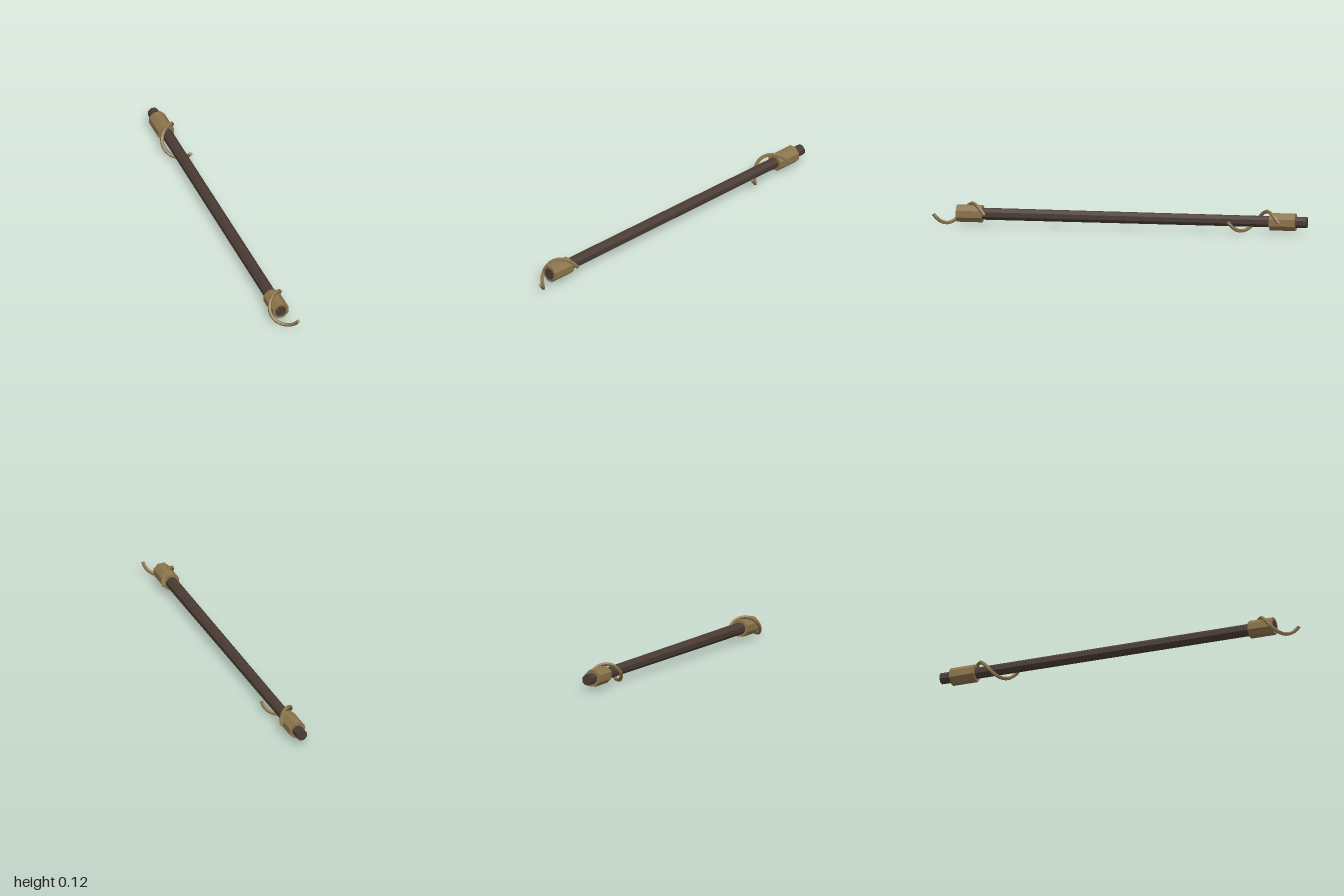
import * as THREE from 'three';

const AXIS_Y = 0.064;

class Helix extends THREE.Curve {
  constructor(radius, z0, z1) {
    super();
    Object.assign(this, { radius, z0, z1 });
  }
  getPoint(t, target = new THREE.Vector3()) {
    const a = t * Math.PI * 2;
    return target.set(
      this.radius * Math.cos(a),
      this.radius * Math.sin(a),
      THREE.MathUtils.lerp(this.z0, this.z1, t)
    );
  }
}

export function createModel() {
  const group = new THREE.Group();
  const wood = new THREE.MeshStandardMaterial({ color: 0x4a3c34, flatShading: true });
  const brass = new THREE.MeshStandardMaterial({ color: 0x8c754c, flatShading: true, side: THREE.DoubleSide });

  function add(name, geometry, material) {
    const mesh = new THREE.Mesh(geometry, material);
    mesh.name = name;
    group.add(mesh);
    return mesh;
  }

  // Eight-sided bar along z with flats facing up and sideways
  function bar(zBack, zFront, rBack, rFront) {
    return new THREE.CylinderGeometry(rFront, rBack, zFront - zBack, 8)
      .rotateY(Math.PI / 8)
      .rotateX(Math.PI / 2)
      .translate(0, 0, (zBack + zFront) / 2);
  }

  // Slightly tapered shaft, flush with the front collar
  add('shaft', bar(-1, 0.869, 0.0295, 0.0325), wood);

  // A collar and a one-turn spiral wire near each end
  const ends = [
    { name: 'front', collar: 0.73, wire: 0.712 },
    { name: 'back', collar: -0.94, wire: -0.858 },
  ];
  for (const { name, collar, wire } of ends) {
    add(name + 'Collar', bar(collar, collar + 0.137, 0.047, 0.047), brass);

    const path = new Helix(0.053, wire, wire + 0.272);
    add(name + 'SpiralWire', new THREE.TubeGeometry(path, 20, 0.01, 5, false), brass);

    // Close the wire tips
    for (const t of [0, 1]) {
      const cap = add(name + 'WireTip', new THREE.CircleGeometry(0.0095, 5), brass);
      const point = path.getPoint(t);
      cap.position.copy(point);
      cap.lookAt(point.clone().addScaledVector(path.getTangent(t), t ? 1 : -1));
    }
  }

  group.position.y = AXIS_Y;
  const model = new THREE.Group();
  model.name = 'staff';
  model.add(group);
  return model;
}
